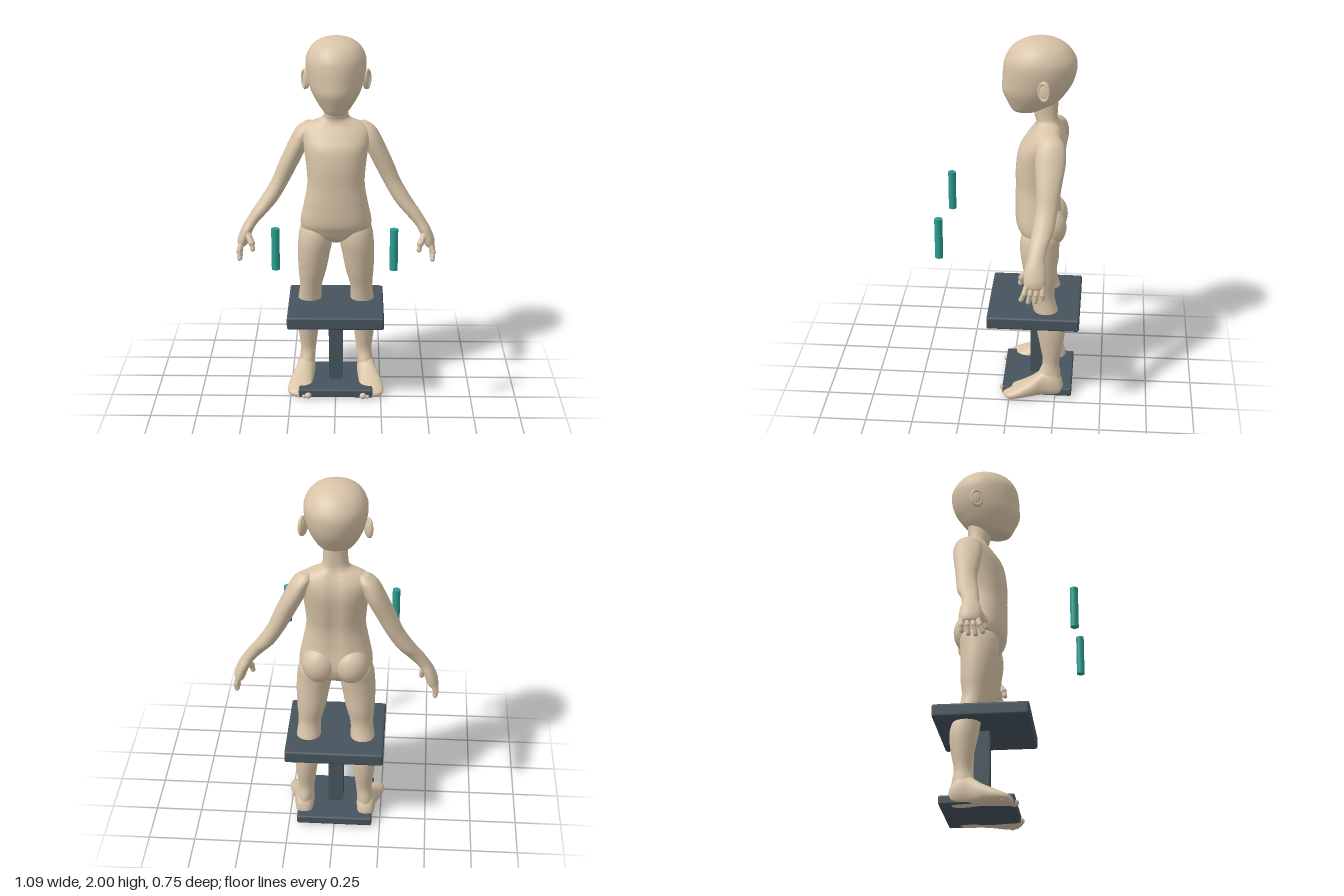
import * as THREE from 'three';
import { RoundedBoxGeometry } from 'three/addons/geometries/RoundedBoxGeometry.js';

const mats = {};
for (const [name, hex] of [['body', 0xd8c4a8], ['seatGrey', 0x46545d], ['handleTeal', 0x2a9d8f]]) {
  mats[name] = new THREE.MeshStandardMaterial({ color: hex });
  mats[name].name = name;
}

function add(parent, name, geo, mat, x = 0, y = 0, z = 0) {
  const m = new THREE.Mesh(geo, mat);
  m.name = name;
  m.position.set(x, y, z);
  parent.add(m);
  return m;
}

// Smooth skin over rising sections [y, centreX, halfWidth, zFront, zBack].
function loft(sections, { s = 1, e = 1, groove = 0, steps = 6, sides = 40 } = {}) {
  const front = new THREE.CatmullRomCurve3(sections.map(p => new THREE.Vector3(p[1], p[0], p[3])), false, 'catmullrom');
  const back = new THREE.CatmullRomCurve3(sections.map(p => new THREE.Vector3(p[2], p[0], p[4])), false, 'catmullrom');
  const rows = (sections.length - 1) * steps;
  const pos = [], idx = [];
  const pow = v => Math.sign(v) * Math.abs(v) ** e;
  for (let i = 0; i <= rows; i++) {
    const a = front.getPoint(i / rows), b = back.getPoint(i / rows);
    const mid = (a.z + b.z) / 2, rz = (a.z - b.z) / 2;
    for (let j = 0; j < sides; j++) {
      const t = j / sides * Math.PI * 2;
      const x = b.x * pow(Math.cos(t));
      let z = mid + rz * pow(Math.sin(t));
      // shallow channel down the middle of the back
      if (Math.sin(t) < 0) z += groove * Math.exp(-((x / 0.03) ** 2)) * Math.sin(Math.PI * i / rows);
      pos.push(s * a.x + x, a.y, z);
    }
  }
  for (let i = 0; i < rows; i++) for (let j = 0; j < sides; j++) {
    const k = (j + 1) % sides, p = i * sides, q = p + sides;
    idx.push(p + j, q + j, p + k, q + j, q + k, p + k);
  }
  // end caps
  for (const row of [0, rows]) {
    const c = pos.length / 3, p = sections[row ? sections.length - 1 : 0];
    pos.push(s * p[1], p[0], (p[3] + p[4]) / 2);
    for (let j = 0; j < sides; j++) {
      const u = row * sides + j, v = row * sides + (j + 1) % sides;
      row ? idx.push(c, v, u) : idx.push(c, u, v);
    }
  }
  const g = new THREE.BufferGeometry();
  g.setAttribute('position', new THREE.Float32BufferAttribute(pos, 3));
  g.setIndex(idx);
  g.computeVertexNormals();
  return g;
}

// Rounded rod between two points.
function rod(parent, name, a, b, r) {
  const p = new THREE.Vector3(...a), q = new THREE.Vector3(...b), d = q.clone().sub(p);
  const m = add(parent, name, new THREE.CapsuleGeometry(r, d.length(), 6, 14), mats.body);
  m.position.copy(p).add(q).multiplyScalar(0.5);
  m.quaternion.setFromUnitVectors(new THREE.Vector3(0, 1, 0), d.normalize());
}

function ball(parent, name, p, r) {
  const m = add(parent, name, new THREE.SphereGeometry(1, 28, 20), mats.body, ...p);
  m.scale.set(...r);
  return m;
}

const TORSO = [
  [0.865, 0, 0.04, -0.13, -0.19], [0.9, 0, 0.13, -0.07, -0.24], [0.95, 0, 0.183, -0.04, -0.265],
  [1.0, 0, 0.192, -0.022, -0.27], [1.1, 0, 0.172, -0.018, -0.258], [1.2, 0, 0.155, -0.02, -0.255],
  [1.3, 0, 0.16, -0.02, -0.272], [1.4, 0, 0.174, -0.035, -0.288], [1.46, 0, 0.184, -0.07, -0.285],
  [1.5, 0, 0.178, -0.1, -0.272], [1.53, 0, 0.14, -0.12, -0.257], [1.555, 0, 0.08, -0.125, -0.245],
  [1.59, 0, 0.064, -0.115, -0.238], [1.68, 0, 0.062, -0.1, -0.24]];
const HEAD = [
  [1.602, 0, 0.02, -0.025, -0.09], [1.614, 0, 0.058, 0, -0.145], [1.66, 0, 0.097, 0.025, -0.232],
  [1.72, 0, 0.13, 0.05, -0.282], [1.78, 0, 0.149, 0.05, -0.316], [1.85, 0, 0.16, 0.045, -0.331],
  [1.9, 0, 0.156, 0.033, -0.323], [1.95, 0, 0.13, 0, -0.288], [1.98, 0, 0.092, -0.048, -0.243],
  [1.995, 0, 0.05, -0.095, -0.198], [2.0, 0, 0.006, -0.14, -0.152]];
const LEG = [
  [0.05, 0.17, 0.045, -0.16, -0.27], [0.12, 0.166, 0.045, -0.155, -0.28], [0.2, 0.158, 0.043, -0.18, -0.27],
  [0.3, 0.157, 0.055, -0.165, -0.288], [0.4, 0.155, 0.065, -0.145, -0.295], [0.5, 0.147, 0.066, -0.13, -0.265],
  [0.6, 0.14, 0.061, -0.108, -0.238], [0.7, 0.13, 0.077, -0.08, -0.248], [0.8, 0.122, 0.088, -0.06, -0.25],
  [0.88, 0.112, 0.094, -0.05, -0.255], [0.95, 0.105, 0.09, -0.06, -0.26], [1.02, 0.1, 0.06, -0.1, -0.22]];
const ARM = [
  [0.84, 0.512, 0.016, -0.12, -0.19], [0.855, 0.511, 0.028, -0.1, -0.206], [0.89, 0.503, 0.033, -0.095, -0.21],
  [0.94, 0.482, 0.034, -0.1, -0.207], [0.98, 0.457, 0.037, -0.112, -0.202], [1.04, 0.41, 0.046, -0.12, -0.215],
  [1.1, 0.363, 0.05, -0.13, -0.24], [1.2, 0.303, 0.049, -0.145, -0.257], [1.3, 0.256, 0.054, -0.14, -0.272],
  [1.4, 0.208, 0.056, -0.132, -0.288], [1.46, 0.182, 0.052, -0.135, -0.285], [1.5, 0.16, 0.047, -0.15, -0.27],
  [1.528, 0.145, 0.022, -0.18, -0.24]];
// Foot runs heel to toe: [z, centreX, halfWidth, -bottom, -top]
const FOOT = [
  [-0.293, 0.17, 0.012, -0.04, -0.07], [-0.28, 0.17, 0.038, -0.01, -0.11], [-0.24, 0.17, 0.05, 0, -0.155],
  [-0.18, 0.173, 0.053, -0.002, -0.15], [-0.12, 0.187, 0.061, -0.004, -0.11], [-0.05, 0.197, 0.068, 0, -0.074],
  [0, 0.197, 0.066, 0, -0.05], [0.022, 0.19, 0.052, -0.003, -0.038], [0.034, 0.185, 0.02, -0.012, -0.028]];

export function createModel() {
  const root = new THREE.Group();
  root.name = 'mannequinWithStool';
  const figure = new THREE.Group();
  figure.name = 'mannequin';
  root.add(figure);

  add(figure, 'torso', loft(TORSO, { e: 0.9, groove: 0.016 }), mats.body);
  add(figure, 'head', loft(HEAD), mats.body);

  for (const s of [1, -1]) {
    const side = s > 0 ? 'left' : 'right';

    // legs and feet
    add(figure, side + 'Leg', loft(LEG, { s }), mats.body);
    add(figure, side + 'Foot', loft(FOOT, { s, e: 0.9 }).rotateX(Math.PI / 2), mats.body);
    for (let i = 0; i < 5; i++) {
      const r = i ? 0.0145 - i * 0.0008 : 0.019;
      ball(figure, side + 'Toe', [s * (0.152 + i * 0.023), r + 0.002, 0.033 - i * i * 0.003], [r, r, r * 1.3]);
    }
    ball(figure, side + 'Hip', [s * 0.085, 0.985, -0.21], [0.09, 0.105, 0.084]);

    // arms and hands
    add(figure, side + 'Arm', loft(ARM, { s }), mats.body);
    for (let i = 0; i < 4; i++) {
      const z = -0.115 - i * 0.026, tipZ = -0.085 - i * 0.036;
      const tipY = [0.785, 0.773, 0.778, 0.795][i];
      const knuckle = [s * 0.513, 0.865, z], joint = [s * 0.53, 0.82, (z + tipZ) / 2];
      rod(figure, side + 'Finger', knuckle, joint, 0.0145);
      rod(figure, side + 'FingerTip', joint, [s * 0.526, tipY, tipZ], 0.0125);
    }
    rod(figure, side + 'Thumb', [s * 0.482, 0.92, -0.115], [s * 0.458, 0.875, -0.085], 0.018);
    rod(figure, side + 'ThumbTip', [s * 0.458, 0.875, -0.085], [s * 0.452, 0.843, -0.077], 0.0135);

    // ears
    const ear = ball(figure, side + 'Ear', [s * 0.158, 1.765, -0.168], [0.014, 0.05, 0.034]);
    ear.rotation.y = s * -0.45;
    const rim = add(figure, side + 'EarRim', new THREE.TorusGeometry(0.04, 0.01, 10, 32), mats.body, s * 0.165, 1.768, -0.172);
    rim.scale.set(0.7, 1.12, 1);
    rim.rotation.y = s * (Math.PI / 2 - 0.45);

    // floating grips
    add(root, side + 'Grip', new THREE.CylinderGeometry(0.021, 0.021, 0.22, 32), mats.handleTeal, s * 0.301, 1.005, 0.357);
  }

  // stool
  add(root, 'seat', new RoundedBoxGeometry(0.525, 0.07, 0.495, 3, 0.012), mats.seatGrey, 0, 0.485, -0.128);
  add(root, 'seatPost', new THREE.BoxGeometry(0.08, 0.41, 0.08), mats.seatGrey, 0, 0.25, -0.145);
  add(root, 'basePlate', new RoundedBoxGeometry(0.41, 0.048, 0.38, 3, 0.01), mats.seatGrey, 0, 0.032, -0.15);
  return root;
}
